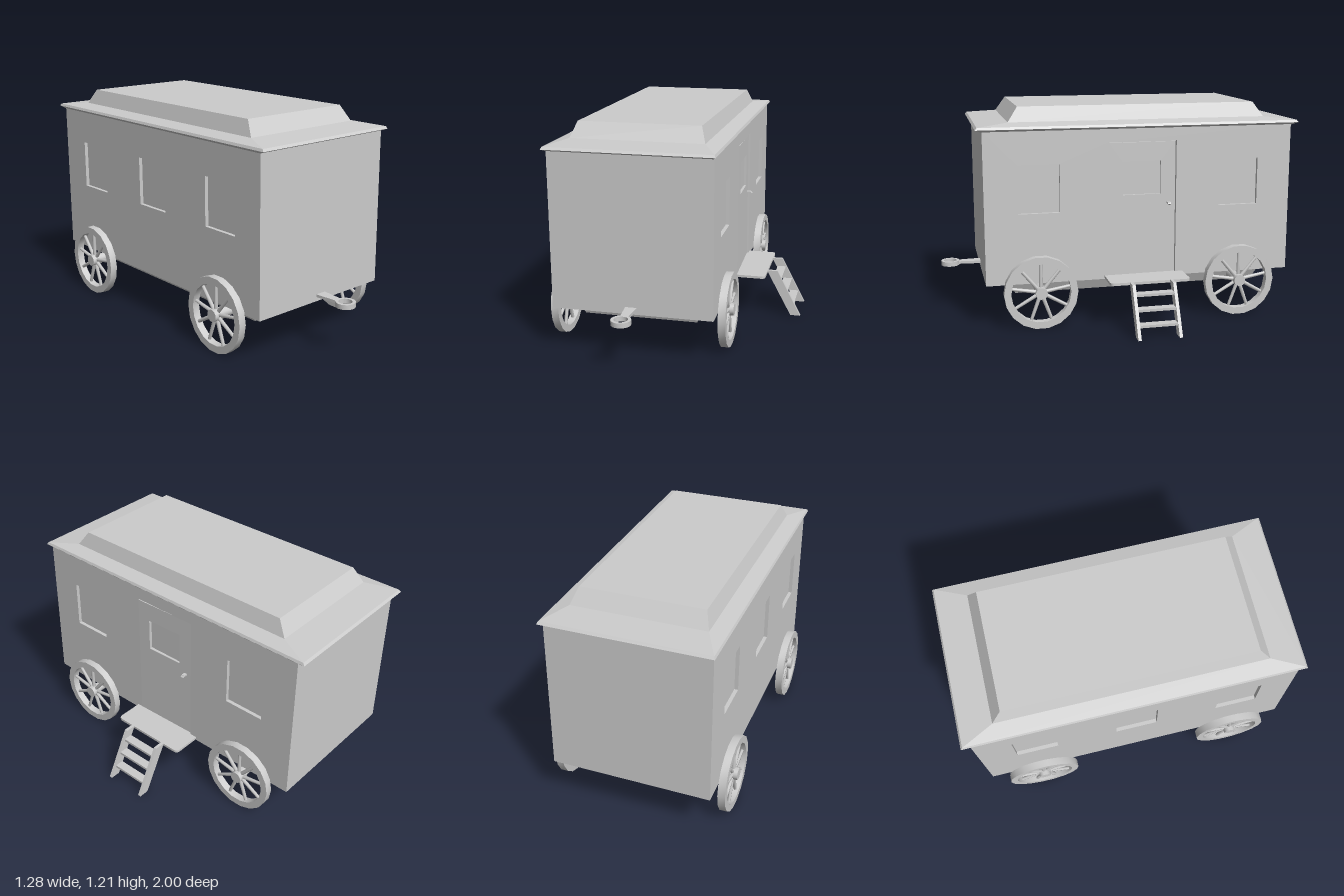
import * as THREE from 'three';
import { toCreasedNormals } from 'three/addons/utils/BufferGeometryUtils.js';

const flat = new THREE.MeshStandardMaterial({ color: 0xcccccc, flatShading: true });
const smooth = new THREE.MeshStandardMaterial({ color: 0xcccccc });
const CX = -0.153, CZ = -0.093; // centre of the wagon body

function add(parent, name, geometry, x = 0, y = 0, z = 0, material = flat) {
  const mesh = new THREE.Mesh(geometry, material);
  mesh.name = name;
  mesh.position.set(x, y, z);
  parent.add(mesh);
  return mesh;
}

// Solid through stacked rectangles, each [y, halfWidth, halfLength], bottom to top
function rectLoft(rings) {
  const pos = [], index = [];
  for (const [y, w, l] of rings) pos.push(-w, y, l, w, y, l, w, y, -l, -w, y, -l);
  for (let r = 0; r < rings.length - 1; r++) {
    for (let i = 0; i < 4; i++) {
      const a = r * 4 + i, b = r * 4 + (i + 1) % 4;
      index.push(a, b, b + 4, a, b + 4, a + 4);
    }
  }
  const t = (rings.length - 1) * 4;
  index.push(0, 2, 1, 0, 3, 2, t, t + 1, t + 2, t, t + 2, t + 3);
  const g = new THREE.BufferGeometry();
  g.setAttribute('position', new THREE.Float32BufferAttribute(pos, 3));
  g.setIndex(index);
  const out = g.toNonIndexed();
  out.computeVertexNormals();
  return out;
}

function rect(u0, u1, v0, v1, Type = THREE.Shape) {
  return new Type([[u0, v0], [u1, v0], [u1, v1], [u0, v1]].map(p => new THREE.Vector2(...p)));
}

function extrude(shape, depth, curveSegments = 6) {
  return new THREE.ExtrudeGeometry(shape, { depth, bevelEnabled: false, curveSegments });
}

// Ring or disc turned about the x axis
function turned(profile, segments) {
  const g = new THREE.LatheGeometry(profile.map(p => new THREE.Vector2(...p)), segments);
  return toCreasedNormals(g.rotateZ(Math.PI / 2), 0.6);
}

function makeWheel() {
  const wheel = new THREE.Group();
  wheel.name = 'wheel';
  const ri = 0.165, ro = 0.204, h = 0.0205;
  add(wheel, 'rim', turned([[ri, -h], [ro, -h], [ro, h], [ri, h], [ri, -h]], 18), 0, 0, 0, smooth);
  add(wheel, 'hub', turned([[0, -0.031], [0.033, -0.031], [0.033, 0.031], [0, 0.031]], 14), 0, 0, 0, smooth);
  for (let i = 0; i < 9; i++) {
    const spoke = new THREE.CylinderGeometry(0.009, 0.011, 0.15, 6);
    spoke.translate(0, 0.1, 0).rotateX(i * Math.PI * 2 / 9);
    add(wheel, 'spoke', spoke, 0, 0, 0, smooth);
  }
  return wheel;
}

export function createModel() {
  const wagon = new THREE.Group();
  wagon.name = 'wagon';

  // Body core, with thin side walls holding the recessed openings
  const depth = 0.02, y0 = 0.25, y1 = 1.09, back = -0.958, front = 0.775;
  add(wagon, 'bodyCore', new THREE.BoxGeometry(0.82, y1 - y0, front - back), CX, (y0 + y1) / 2, (front + back) / 2);

  const windows = [-0.65, -0.09, 0.48];
  const leftWall = rect(-front, -back, y0, y1); // u = -z
  for (const z of [windows[0], windows[2]]) {
    leftWall.holes.push(rect(-z - 0.115, -z + 0.115, 0.64, 0.905, THREE.Path));
  }
  leftWall.holes.push(rect(-0.09, 0.288, 0.27, 1.017, THREE.Path));
  add(wagon, 'doorSideWall', extrude(leftWall, depth).rotateY(Math.PI / 2), CX + 0.41);

  const rightWall = rect(back, front, y0, y1); // u = z
  for (const z of windows) {
    rightWall.holes.push(rect(z - 0.115, z + 0.115, 0.64, 0.905, THREE.Path));
  }
  add(wagon, 'windowSideWall', extrude(rightWall, depth).rotateY(-Math.PI / 2), CX - 0.41);

  // Door, hinged at its front edge and set slightly inward
  const doorShape = rect(0, 0.372, 0.27, 1.011);
  doorShape.holes.push(rect(0.075, 0.29, 0.72, 0.905, THREE.Path));
  const doorGeo = extrude(doorShape, depth).translate(0, 0, -depth).rotateY(Math.PI / 2);
  const door = add(wagon, 'door', doorGeo, CX + 0.43, 0, 0.09);
  door.rotation.y = 0.025;

  // Door handle
  add(wagon, 'handleStem', new THREE.BoxGeometry(0.03, 0.009, 0.018), 0.277, 0.669, -0.245);
  const lever = add(wagon, 'handleLever', new THREE.BoxGeometry(0.013, 0.006, 0.018), 0.294, 0.666, -0.245);
  lever.rotation.z = -0.8;

  // Roof with eaves and raised upper deck
  add(wagon, 'roof', rectLoft([
    [1.086, 0.43, 0.87], [1.099, 0.444, 0.905], [1.112, 0.438, 0.895],
    [1.128, 0.356, 0.725], [1.209, 0.327, 0.67],
  ]), CX - 0.002, 0, CZ - 0.002);

  // Tapered underframe
  add(wagon, 'underframe', rectLoft([[0.165, 0.308, 0.7], [0.252, 0.35, 0.735]]), CX, 0, CZ);

  // Axles and wheels
  for (const z of [0.48, -0.66]) {
    const axle = new THREE.CylinderGeometry(0.028, 0.028, 0.88, 14).rotateZ(Math.PI / 2);
    add(wagon, 'axle', axle, CX, 0.205, z, smooth);
    for (const side of [-1, 1]) {
      const wheel = makeWheel();
      wheel.position.set(CX - 0.003 + side * 0.456, 0.204, z);
      wagon.add(wheel);
    }
  }

  // Entry platform with rounded outer corners
  const r = 0.025, p = new THREE.Shape();
  p.moveTo(0.255, -0.12);
  p.lineTo(0.44 - r, -0.12);
  p.quadraticCurveTo(0.44, -0.12, 0.44, -0.12 + r);
  p.lineTo(0.44, 0.33 - r);
  p.quadraticCurveTo(0.44, 0.33, 0.44 - r, 0.33);
  p.lineTo(0.255, 0.33);
  add(wagon, 'platform', extrude(p, 0.014).rotateX(-Math.PI / 2), 0, 0.256, 0);

  // Step ladder
  const stringer = new THREE.Shape([[0.437, 0.272], [0.58, 0.007], [0.637, 0.007], [0.498, 0.272]]
    .map(q => new THREE.Vector2(...q)));
  for (const z of [-0.23, -0.003]) {
    add(wagon, 'stepStringer', extrude(stringer, 0.018), 0, 0, z);
  }
  for (const y of [0.218, 0.145, 0.07]) {
    add(wagon, 'tread', new THREE.BoxGeometry(0.05, 0.014, 0.215), 0.467 + (0.272 - y) * 0.53, y, -0.107);
  }

  // Towing bar and ring
  const bar = new THREE.Shape([[-0.033, -0.75], [0.033, -0.75], [0.02, -0.905], [-0.02, -0.905]]
    .map(q => new THREE.Vector2(...q)));
  add(wagon, 'towBar', extrude(bar, 0.015).rotateX(-Math.PI / 2), -0.155, 0.273, 0);
  const ringProfile = [[0.036, -0.013], [0.052, -0.013], [0.052, 0.013], [0.036, 0.013], [0.036, -0.013]];
  const ring = toCreasedNormals(new THREE.LatheGeometry(ringProfile.map(q => new THREE.Vector2(...q)), 20), 0.6);
  add(wagon, 'towRing', ring, -0.155, 0.28, 0.947, smooth);

  return wagon;
}
